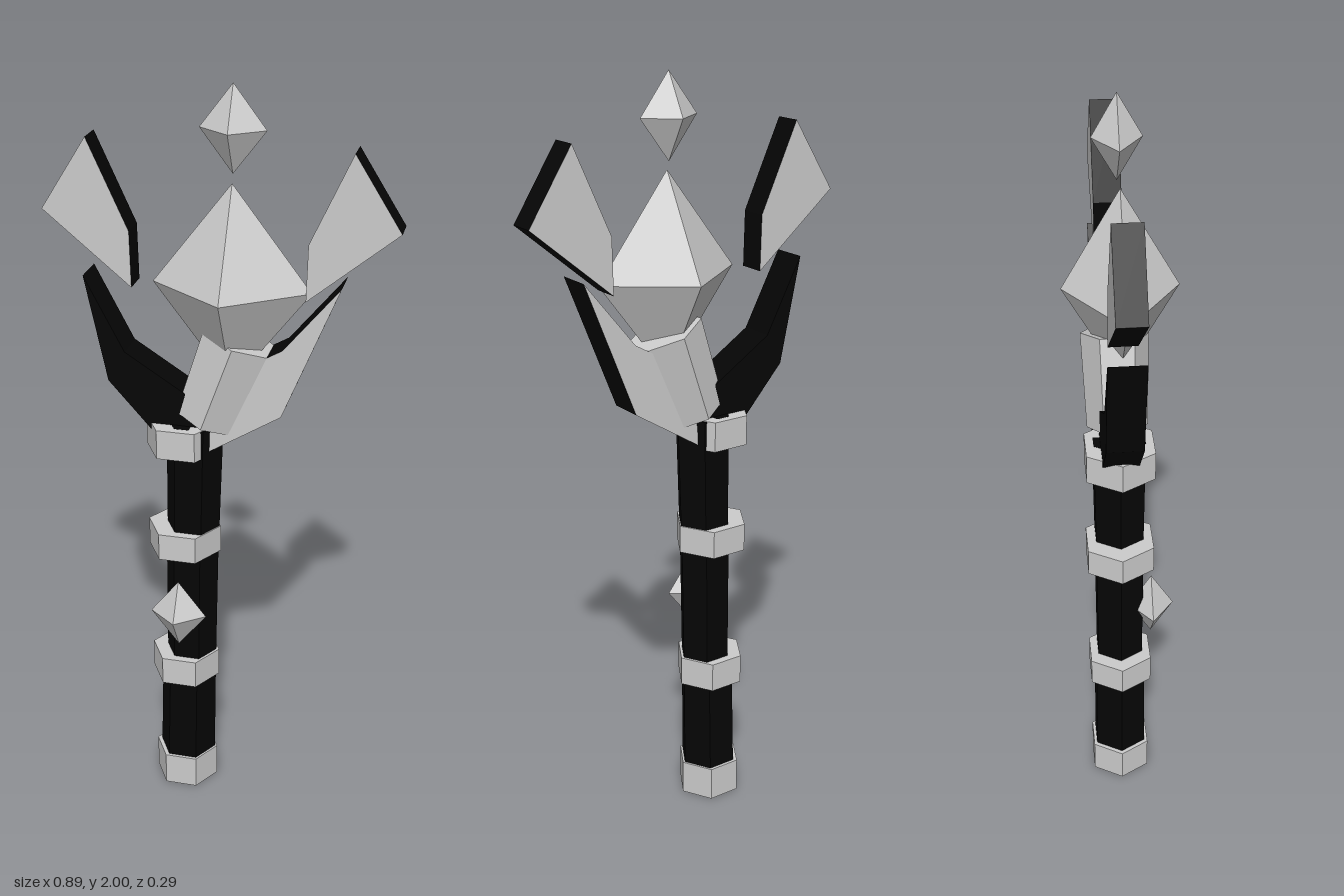
import * as THREE from 'three';

const grey = new THREE.MeshStandardMaterial({ color: 0xcccccc, flatShading: true });
const black = new THREE.MeshStandardMaterial({ color: 0x050505, flatShading: true });
const Z = -0.015; // depth of the staff axis

export function createModel() {
  const group = new THREE.Group();

  const add = (name, geometry, material, x, y, z) => {
    const mesh = new THREE.Mesh(geometry, material);
    mesh.name = name;
    mesh.position.set(x, y, z);
    group.add(mesh);
    return mesh;
  };

  // Six-sided prism between two points in the x-y plane
  const prism = (name, [x0, y0], [x1, y1], r0, r1, material, turn = Math.PI / 6) => {
    const length = Math.hypot(x1 - x0, y1 - y0);
    const geometry = new THREE.CylinderGeometry(r1, r0, length, 6, 1, false, turn);
    const mesh = add(name, geometry, material, (x0 + x1) / 2, (y0 + y1) / 2, Z);
    mesh.rotation.z = -Math.atan2(x1 - x0, y1 - y0);
    return mesh;
  };

  // Stretched octahedron
  const gem = (name, x, y, z, rx, ry, rz) =>
    add(name, new THREE.OctahedronGeometry(1).scale(rx, ry, rz), grey, x, y, z);

  // Flat outline given thickness; faces and rim may differ in colour
  const plate = (name, points, depth, face) => {
    const shape = new THREE.Shape(points.map(([x, y]) => new THREE.Vector2(x, y)));
    const geometry = new THREE.ExtrudeGeometry(shape, { depth, bevelEnabled: false });
    return add(name, geometry, [face, black], 0, 0, Z - 0.002 - depth / 2);
  };

  // Shaft, slightly bent at each band
  prism('lowerShaft', [-0.102, 0.05], [-0.095, 0.39], 0.079, 0.076, black);
  prism('middleShaft', [-0.088, 0.39], [-0.083, 0.79], 0.069, 0.072, black);
  prism('upperShaft', [-0.081, 0.79], [-0.074, 1.13], 0.071, 0.076, black);

  // Bands
  [
    ['footCap', 0, 0.095, 0.088],
    ['lowerBand', 0.35, 0.43, 0.094],
    ['middleBand', 0.75, 0.825, 0.099],
    ['topBand', 1.05, 1.13, 0.1],
  ].forEach(([name, y0, y1, r]) => prism(name, [-0.104, y0], [-0.104, y1], r, r, grey));

  // Tilted socket under the large gem
  prism('gemSocket', [-0.04, 1.14], [0.042, 1.368], 0.09, 0.1, grey, 0).scale.z = 0.86;

  // Gems
  gem('shaftGem', -0.102, 0.588, 0.07, 0.076, 0.098, 0.06);
  gem('largeGem', 0.025, 1.505, -0.002, 0.2, 0.26, 0.145);
  gem('floatingGem', 0.025, 1.893, -0.01, 0.082, 0.107, 0.06);

  // Horns
  plate('rightHorn', [
    [-0.347, 1.515], [-0.29, 1.238], [-0.178, 1.112], [-0.04, 1.09], [-0.06, 1.2], [-0.1, 1.228], [-0.245, 1.32],
  ], 0.092, black);
  plate('leftHorn', [
    [0.302, 1.535], [0.16, 1.362], [0.045, 1.295], [-0.02, 1.17], [-0.03, 1.062], [0.16, 1.182],
  ], 0.092, grey);

  // Floating shards, mirrored about the staff head
  const shard = [[0.325, 1.86], [0.443, 1.676], [0.219, 1.49], [0.222, 1.634]];
  plate('leftShard', shard.map(([x, y]) => [x - 0.006, y]), 0.071, grey);
  plate('rightShard', shard.map(([x, y]) => [-x - 0.006, y]), 0.071, grey);

  return group;
}
